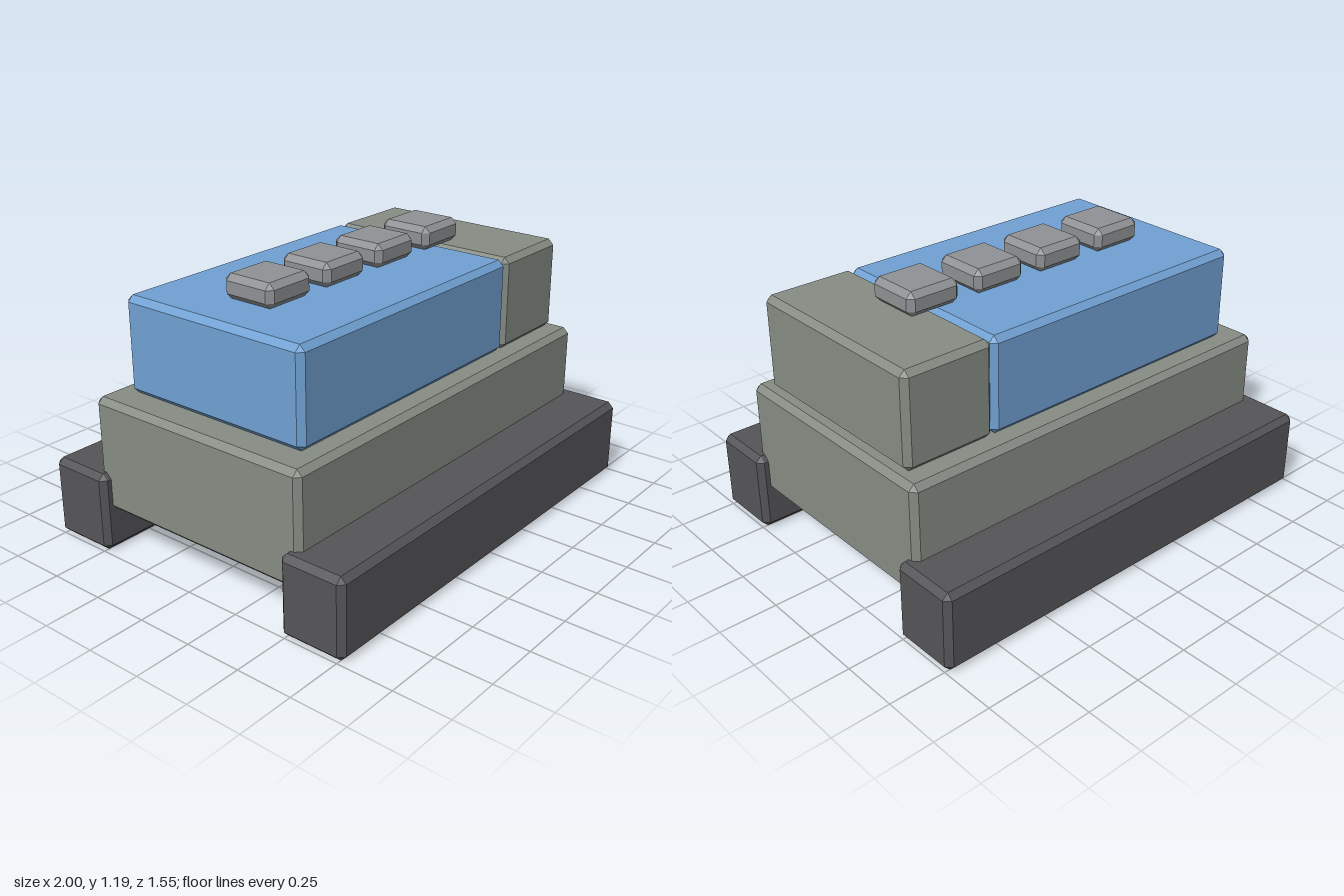
import * as THREE from 'three';
import { ConvexGeometry } from 'three/addons/geometries/ConvexGeometry.js';

const BEVEL = 0.025;
const paint = (color) => new THREE.MeshStandardMaterial({ color, flatShading: true });

// Box with flat chamfers, given by its extents on each axis
function bevelBox(name, [x0, x1], [y0, y1], [z0, z1], material) {
  const h = [(x1 - x0) / 2, (y1 - y0) / 2, (z1 - z0) / 2];
  const points = [];
  for (const sx of [-1, 1]) for (const sy of [-1, 1]) for (const sz of [-1, 1]) {
    for (let full = 0; full < 3; full++) {
      const d = h.map((v, i) => (i === full ? v : v - BEVEL));
      points.push(new THREE.Vector3(sx * d[0], sy * d[1], sz * d[2]));
    }
  }
  const mesh = new THREE.Mesh(new ConvexGeometry(points), material);
  mesh.name = name;
  mesh.position.set((x0 + x1) / 2, (y0 + y1) / 2, (z0 + z1) / 2);
  return mesh;
}

export function createModel() {
  const model = new THREE.Group();
  model.name = 'trackedVehicle';
  const dark = paint(0x555457);
  const olive = paint(0x868c84);
  const blue = paint(0x70a0d2);
  const grey = paint(0x8f9194);

  // Tracks along both long sides
  model.add(bevelBox('frontTrack', [-1, 1], [0, 0.35], [0.475, 0.775], dark));
  model.add(bevelBox('backTrack', [-1, 1], [0, 0.35], [-0.775, -0.475], dark));

  // Hull slung between the tracks
  model.add(bevelBox('hull', [-0.955, 0.955], [0.18, 0.675], [-0.54, 0.54], olive));

  // Upper deck: cargo tank and cab
  model.add(bevelBox('tank', [-0.835, 0.5], [0.675, 1.09], [-0.457, 0.457], blue));
  model.add(bevelBox('cab', [0.497, 0.914], [0.675, 1.09], [-0.457, 0.457], olive));

  // Row of roof hatches
  for (let i = 0; i < 4; i++) {
    const x = -0.5 + i / 3;
    model.add(bevelBox(`hatch${i + 1}`, [x - 0.125, x + 0.125], [1.09, 1.193], [-0.125, 0.125], grey));
  }
  return model;
}
